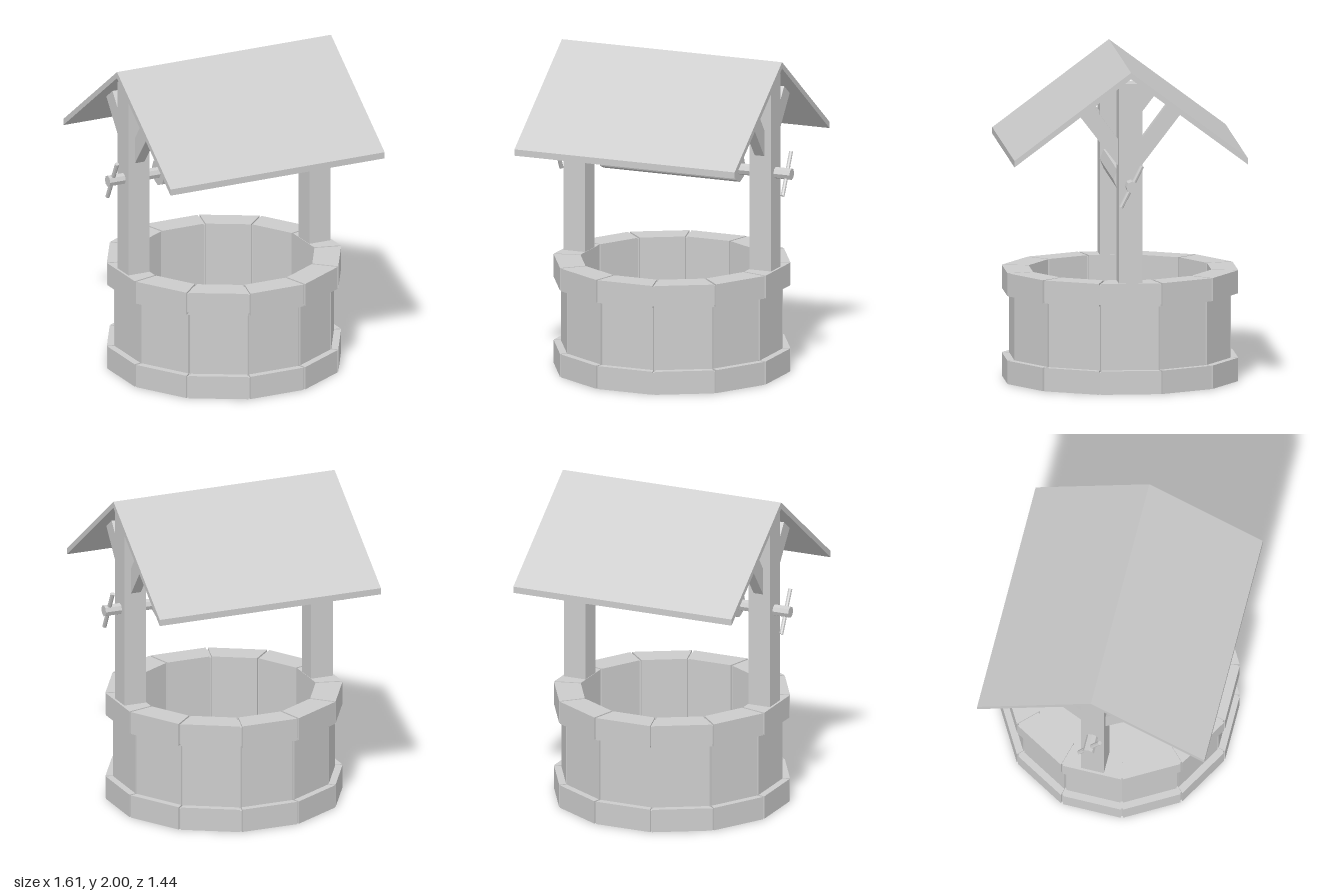
import * as THREE from 'three';

const mat = new THREE.MeshStandardMaterial({ color: 0xcccccc, flatShading: true, side: THREE.DoubleSide });
const SIDES = 12;
const HALF = Math.PI / SIDES;

function add(parent, name, geometry, x = 0, y = 0, z = 0) {
  const mesh = new THREE.Mesh(geometry, mat);
  mesh.name = name;
  mesh.position.set(x, y, z);
  parent.add(mesh);
  return mesh;
}

// Wedge-shaped stone between two apothems, with a narrow joint on each side
function stoneGeometry(rIn, rOut, y0, y1, openBottom) {
  const joint = 0.007;
  const g = new THREE.BoxGeometry(1, y1 - y0, 1);
  const p = g.attributes.position;
  for (let i = 0; i < p.count; i++) {
    const r = p.getZ(i) > 0 ? rOut : rIn;
    p.setX(i, Math.sign(p.getX(i)) * (r * Math.tan(HALF) - joint));
    p.setY(i, p.getY(i) + (y0 + y1) / 2);
    p.setZ(i, r);
  }
  // Hollow stones keep only the sides, top and front
  if (openBottom) {
    const index = Array.from(g.index.array);
    g.setIndex([...index.slice(0, 18), ...index.slice(24, 30)]);
  }
  g.computeVertexNormals();
  return g;
}

function stoneRing(parent, name, ...size) {
  const ring = new THREE.Group();
  ring.name = name;
  const g = stoneGeometry(...size);
  for (let i = 0; i < SIDES; i++) add(ring, 'stone', g).rotation.y = i * 2 * HALF;
  parent.add(ring);
}

// Outline in the z-y plane, extruded along x and centred on x = 0
function sideProfile(points, width) {
  const shape = new THREE.Shape(points.map(([z, y]) => new THREE.Vector2(-z, y)));
  const g = new THREE.ExtrudeGeometry(shape, { depth: width, bevelEnabled: false });
  return g.translate(0, 0, -width / 2).rotateY(Math.PI / 2);
}

function rod(radius, length, sides) {
  return new THREE.CylinderGeometry(radius, radius, length, sides).rotateZ(Math.PI / 2);
}

export function createModel() {
  const model = new THREE.Group();
  model.name = 'well';

  // Stone shaft: base course, wall and rim
  stoneRing(model, 'baseStones', 0.66, 0.712, 0, 0.145, true);
  stoneRing(model, 'wallStones', 0.55, 0.668, 0.145, 0.545, false);
  stoneRing(model, 'rimStones', 0.55, 0.712, 0.545, 0.688, false);

  // Mortar behind the joints, with the floor of the shaft
  const mortar = [
    [0.7, 0], [0.7, 0.135], [0.656, 0.135], [0.656, 0.555], [0.7, 0.555],
    [0.7, 0.678], [0.562, 0.678], [0.562, 0.07], [0, 0.07],
  ].map(([r, y]) => new THREE.Vector2(r / Math.cos(HALF), y));
  add(model, 'mortarAndFloor', new THREE.LatheGeometry(mortar, SIDES, HALF));

  // Posts with a pair of braces each
  const post = new THREE.BoxGeometry(0.145, 1.245, 0.145);
  for (const side of [-1, 1]) {
    add(model, 'post', post, side * 0.625, 1.3025, 0);
    for (const f of [-1, 1]) {
      const outline = [[0.07, 1.41], [0.315, 1.73], [0.23, 1.79], [0.07, 1.575]];
      add(model, 'brace', sideProfile(outline.map(([z, y]) => [z * f, y]), 0.065), side * 0.62);
    }
  }

  // Pitched roof, one slab per slope
  for (const f of [-1, 1]) {
    const slab = [[0, 2], [0.72, 1.463], [0.72, 1.423], [0, 1.96]];
    add(model, 'roofSlab', sideProfile(slab.map(([z, y]) => [z * f, y]), 1.48));
  }

  // Windlass: drum, axle and crank bars
  add(model, 'drum', rod(0.083, 0.915, 8), 0, 1.298, 0);
  add(model, 'axle', rod(0.036, 1.61, 8), 0, 1.298, 0);
  for (const turn of [0, Math.PI]) {
    const crank = new THREE.Group();
    crank.name = 'crank';
    crank.rotation.y = turn;
    const bar = new THREE.CylinderGeometry(0.0135, 0.0135, 0.285, 8);
    add(crank, 'crankBar', bar, 0.772, 1.298, 0).rotation.x = -0.47;
    model.add(crank);
  }

  return model;
}
